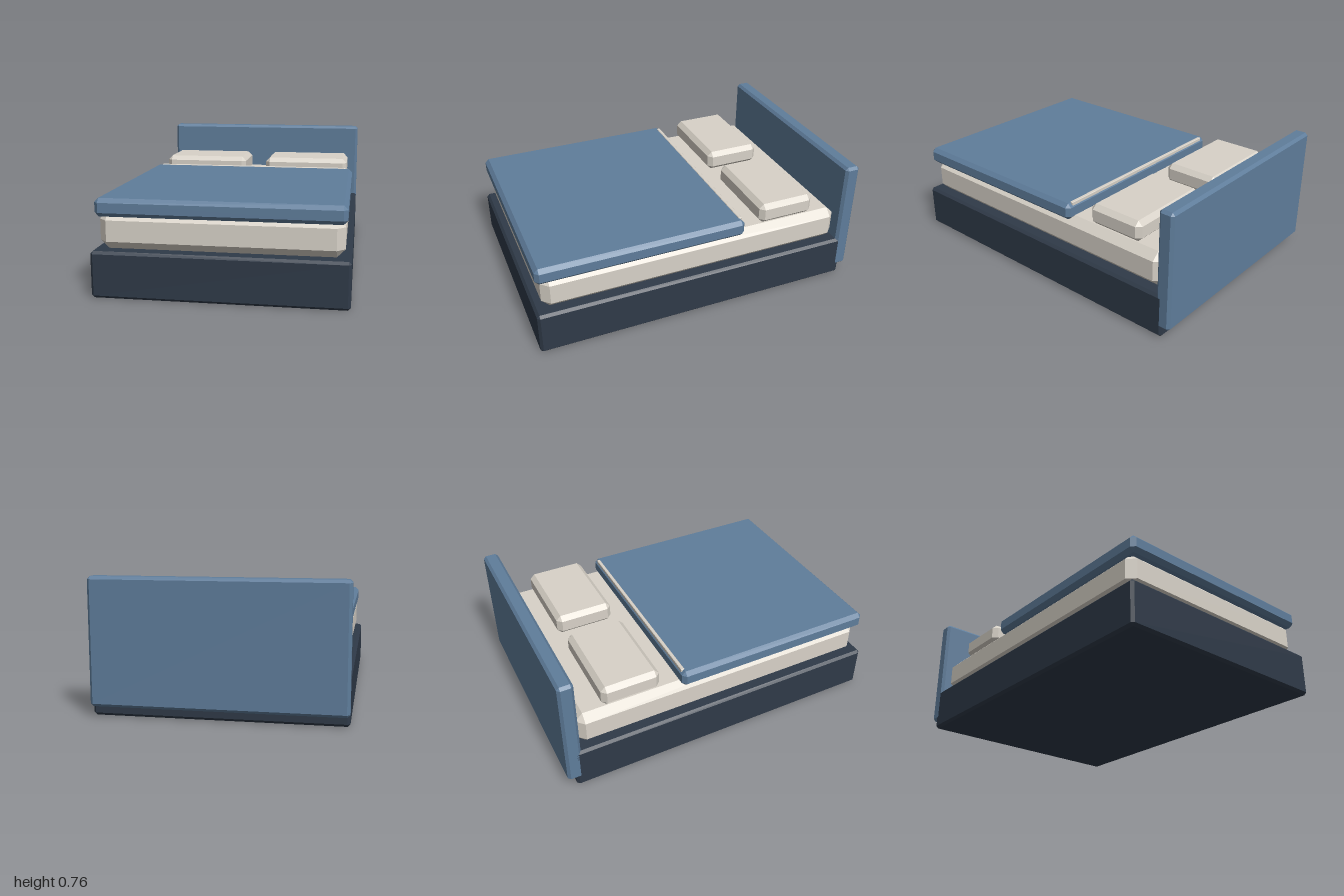
import * as THREE from 'three';
import { ConvexGeometry } from 'three/addons/geometries/ConvexGeometry.js';

const material = (color) => new THREE.MeshStandardMaterial({ color, flatShading: true });

// Box with every edge chamfered by c, given as [min, max] on each axis
function chamferBox(name, [x0, x1], [y0, y1], [z0, z1], c, mat) {
  const half = new THREE.Vector3(x1 - x0, y1 - y0, z1 - z0).multiplyScalar(0.5);
  const points = [];
  for (const sx of [-1, 1]) for (const sy of [-1, 1]) for (const sz of [-1, 1]) {
    // each corner becomes three points, one on each adjoining face
    for (const axis of ['x', 'y', 'z']) {
      const p = half.clone().subScalar(c);
      p[axis] += c;
      points.push(p.multiply(new THREE.Vector3(sx, sy, sz)));
    }
  }
  const mesh = new THREE.Mesh(new ConvexGeometry(points), mat);
  mesh.name = name;
  mesh.position.set((x0 + x1) / 2, (y0 + y1) / 2, (z0 + z1) / 2);
  return mesh;
}

export function createModel() {
  const bed = new THREE.Group();
  bed.name = 'bed';
  const dark = material(0x2f3a48);
  const blue = material(0x5f7d9b);
  const cream = material(0xd8d2c8);

  // Frame and headboard
  bed.add(chamferBox('base', [-0.695, 0.695], [0, 0.26], [-0.95, 1], 0.015, dark));
  bed.add(chamferBox('headboard', [-0.695, 0.695], [0.06, 0.763], [-1, -0.908], 0.016, blue));

  // Bedding
  bed.add(chamferBox('mattress', [-0.66, 0.66], [0.26, 0.467], [-0.903, 0.955], 0.045, cream));
  bed.add(chamferBox('blanket', [-0.67, 0.67], [0.445, 0.546], [-0.267, 0.985], 0.023, blue));
  bed.add(chamferBox('sheetFold', [-0.627, 0.627], [0.525, 0.55], [-0.261, -0.24], 0.003, cream));

  // Pair of pillows
  for (const [name, x] of [['leftPillow', 0.35], ['rightPillow', -0.35]]) {
    bed.add(chamferBox(name, [x - 0.279, x + 0.279], [0.463, 0.588], [-0.74, -0.388], 0.028, cream));
  }
  return bed;
}
